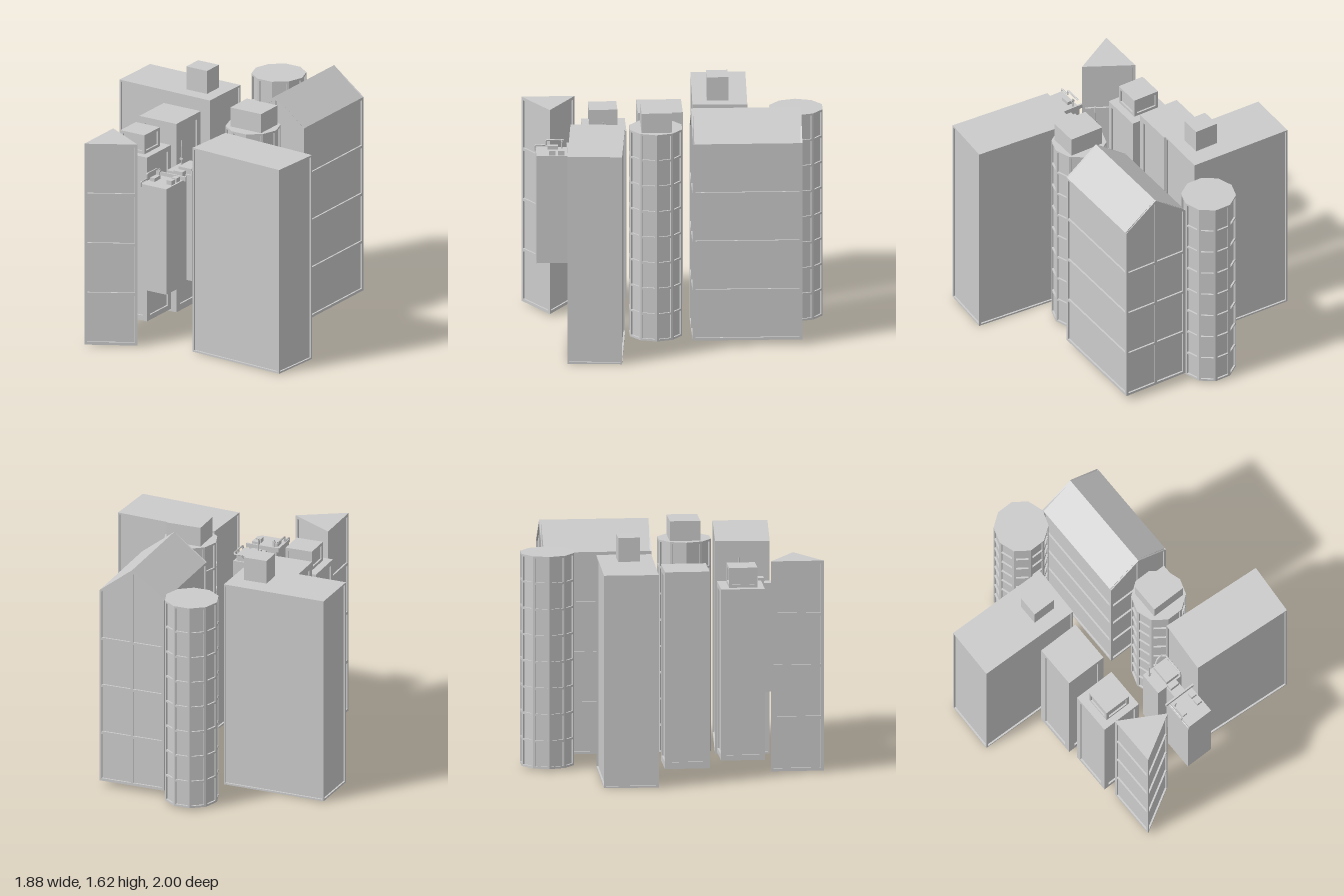
import * as THREE from 'three';

const grey = new THREE.MeshStandardMaterial({ color: 0xcccccc, flatShading: true, side: THREE.DoubleSide });

function add(parent, geometry, name, x = 0, y = 0, z = 0) {
  const m = new THREE.Mesh(geometry, grey);
  m.name = name;
  m.position.set(x, y, z);
  parent.add(m);
  return m;
}

// Box given by its centre in plan and its bottom and top heights
function block(parent, name, x, z, w, d, y0, y1) {
  return add(parent, new THREE.BoxGeometry(w, y1 - y0, d), name, x, (y0 + y1) / 2, z);
}

function shapeOf(points) {
  return new THREE.Shape(points.map(([x, y]) => new THREE.Vector2(x, y)));
}

// Footprints run front, right, back, left
const rect = (w, d) => [[-w / 2, d / 2], [w / 2, d / 2], [w / 2, -d / 2], [-w / 2, -d / 2]];
const polygon = (n, r) => Array.from({ length: n }, (_, i) => {
  const t = (i + 0.5) * 2 * Math.PI / n;
  return [Math.sin(t) * r, Math.cos(t) * r];
});

// Move every corner of a convex footprint inwards
function inset(points, depth) {
  const n = points.length;
  const normal = (a, b) => new THREE.Vector2(a[1] - b[1], b[0] - a[0]).normalize();
  return points.map((p, i) => {
    const n1 = normal(points[(i + n - 1) % n], p), n2 = normal(p, points[(i + 1) % n]);
    const k = depth / (1 + n1.dot(n2));
    return [p[0] - (n1.x + n2.x) * k, p[1] - (n1.y + n2.y) * k];
  });
}

// Building with mitred frames on every wall and recessed panels behind them.
// peak > 0 raises a gable on the first and third walls.
function building(parent, name, points, x, z, y0, y1, o) {
  const { cols = 1, rows = 1, frame = 0.012, depth = 0.012, peak = 0 } = o;
  const g = new THREE.Group();
  g.name = name;
  g.position.set(x, y0, z);
  g.rotation.y = o.turn || 0;
  parent.add(g);
  const h = y1 - y0, inner = inset(points, depth), n = points.length;

  // recessed core
  const core = new THREE.ExtrudeGeometry(shapeOf(inner.map(([px, pz]) => [px, -pz])), { depth: h, bevelEnabled: false });
  add(g, core.rotateX(-Math.PI / 2), 'panels');

  points.forEach((a, i) => {
    const j = (i + 1) % n, b = points[j];
    const dx = b[0] - a[0], dz = b[1] - a[1], w = Math.hypot(dx, dz);
    const gable = peak > 0 && i % 2 === 0;
    const nc = gable ? 2 : cols;
    const top = u => h + (gable ? peak * (1 - Math.abs(2 * u / w - 1)) : 0);
    const outline = [[0, 0], [w, 0], [w, h]];
    if (gable) outline.push([w / 2, h + peak]);
    outline.push([0, h]);
    const shape = shapeOf(outline);
    // window openings
    for (let c = 0; c < nc; c++) for (let r = 0; r < rows; r++) {
      const u0 = frame + c * (w - frame) / nc, u1 = (c + 1) * (w - frame) / nc;
      const v0 = frame + r * (h - frame) / rows, v1 = (r + 1) * (h - frame) / rows;
      const last = r === rows - 1;
      shape.holes.push(shapeOf([[u0, v0], [u0, last ? top(u0) - frame : v1],
        [u1, last ? top(u1) - frame : v1], [u1, v0]]));
    }
    const geo = new THREE.ExtrudeGeometry(shape, { depth, bevelEnabled: false }).translate(0, 0, -depth);
    // mitre the rear edge at both corners
    const pos = geo.attributes.position;
    const shift = (p, q) => ((q[0] - p[0]) * dx + (q[1] - p[1]) * dz) / w;
    const sa = shift(a, inner[i]), sb = shift(b, inner[j]);
    for (let k = 0; k < pos.count; k++) {
      if (pos.getZ(k) > -depth / 2) continue;
      if (Math.abs(pos.getX(k)) < 1e-5) pos.setX(k, sa);
      else if (Math.abs(pos.getX(k) - w) < 1e-5) pos.setX(k, w + sb);
    }
    geo.computeVertexNormals();
    add(g, geo, 'wallFrame', a[0], 0, a[1]).rotation.y = Math.atan2(-dz, dx);
  });

  // gable roof
  if (peak > 0) {
    const w = points[1][0] - points[0][0], d = points[0][1] - points[2][1] - 2 * depth;
    const roof = new THREE.ExtrudeGeometry(shapeOf([[-w / 2, h], [w / 2, h], [0, h + peak]]), { depth: d, bevelEnabled: false });
    add(g, roof.translate(0, 0, -d / 2), 'gableRoof');
  }
  return g;
}

function pipe(parent, name, points, r = 0.005) {
  const path = new THREE.CurvePath();
  const v = points.map(p => new THREE.Vector3(...p));
  for (let i = 1; i < v.length; i++) path.add(new THREE.LineCurve3(v[i - 1], v[i]));
  add(parent, new THREE.TubeGeometry(path, (v.length - 1) * 6, r, 6), name);
}

export function createModel() {
  const city = new THREE.Group();
  city.name = 'buildingCluster';

  // Ten-sided towers
  const tower = { rows: 8, frame: 0.014 };
  building(city, 'roundTowerBack', polygon(10, 0.184), -0.105, -0.826, 0.015, 1.46, tower);
  building(city, 'roundTowerFront', polygon(10, 0.184), 0.307, 0.131, 0.015, 1.46, tower);
  block(city, 'roundTowerRoofBox', 0.313, 0.128, 0.245, 0.205, 1.46, 1.595);

  // Gabled block
  building(city, 'gabledBuilding', rect(0.47, 0.735), 0.325, -0.473, 0.04, 1.415, { rows: 4, frame: 0.018, peak: 0.18 });

  // Slabs, slightly turned
  building(city, 'slabLeft', rect(0.73, 0.367), -0.571, -0.328, 0.005, 1.452, { turn: -0.022 });
  block(city, 'slabRoofBox', -0.378, -0.308, 0.165, 0.145, 1.452, 1.615);
  building(city, 'slabRight', rect(0.724, 0.366), 0.565, 0.539, 0, 1.45, { turn: -0.07 });

  // Square towers
  building(city, 'squareTowerBack', rect(0.294, 0.3), -0.388, 0.077, 0.05, 1.39, { frame: 0.045 });
  building(city, 'squareTowerFront', rect(0.294, 0.294), -0.382, 0.451, 0.1, 1.265, { frame: 0.035 });
  building(city, 'squareTowerRoofBox', rect(0.19, 0.19), -0.38, 0.458, 1.265, 1.4, { frame: 0.02 });

  // Triangular tower
  building(city, 'triangleTower', [[-0.475, 0.998], [-0.165, 0.82], [-0.475, 0.642]], 0, 0, 0.01, 1.44, { rows: 4, frame: 0.02 });

  // Twin service block with a neck between
  const s = new THREE.Group();
  s.name = 'serviceBlock';
  city.add(s);
  block(s, 'frontBlock', 0.027, 0.815, 0.2, 0.21, 0.46, 1.21);
  block(s, 'rearBlock', 0.027, 0.52, 0.2, 0.165, 0.46, 1.21);
  block(s, 'neck', 0.04, 0.655, 0.085, 0.12, 0.46, 1.2);
  block(s, 'crossbar', 0.027, 0.705, 0.235, 0.012, 1.205, 1.235);
  // roof equipment
  block(s, 'vent', -0.035, 0.805, 0.035, 0.07, 1.21, 1.235);
  for (const z of [0.755, 0.815]) block(s, 'fanUnit', 0.095, z, 0.04, 0.042, 1.21, 1.24);
  block(s, 'rearUnit', 0.04, 0.62, 0.07, 0.04, 1.2, 1.235);
  block(s, 'rearHousing', 0.06, 0.52, 0.1, 0.14, 1.21, 1.25);
  for (const [z, top] of [[0.47, 1.385], [0.745, 1.27]]) {
    add(s, new THREE.CylinderGeometry(0.004, 0.006, top - 1.21, 6), 'mast', -0.042, (top + 1.21) / 2, z);
    block(s, 'mastBracket', -0.042, z, 0.022, 0.012, 1.25, 1.262);
  }
  pipe(s, 'sidePipe', [[-0.072, 1.19, 0.925], [-0.072, 1.225, 0.925], [-0.072, 1.225, 0.85],
    [-0.072, 1.26, 0.85], [-0.072, 1.26, 0.73]], 0.006);
  pipe(s, 'rearPipe', [[0.03, 1.22, 0.44], [0.06, 1.265, 0.425], [0.105, 1.265, 0.42],
    [0.122, 1.265, 0.445], [0.122, 1.265, 0.59], [0.122, 1.21, 0.6]], 0.006);
  return city;
}
